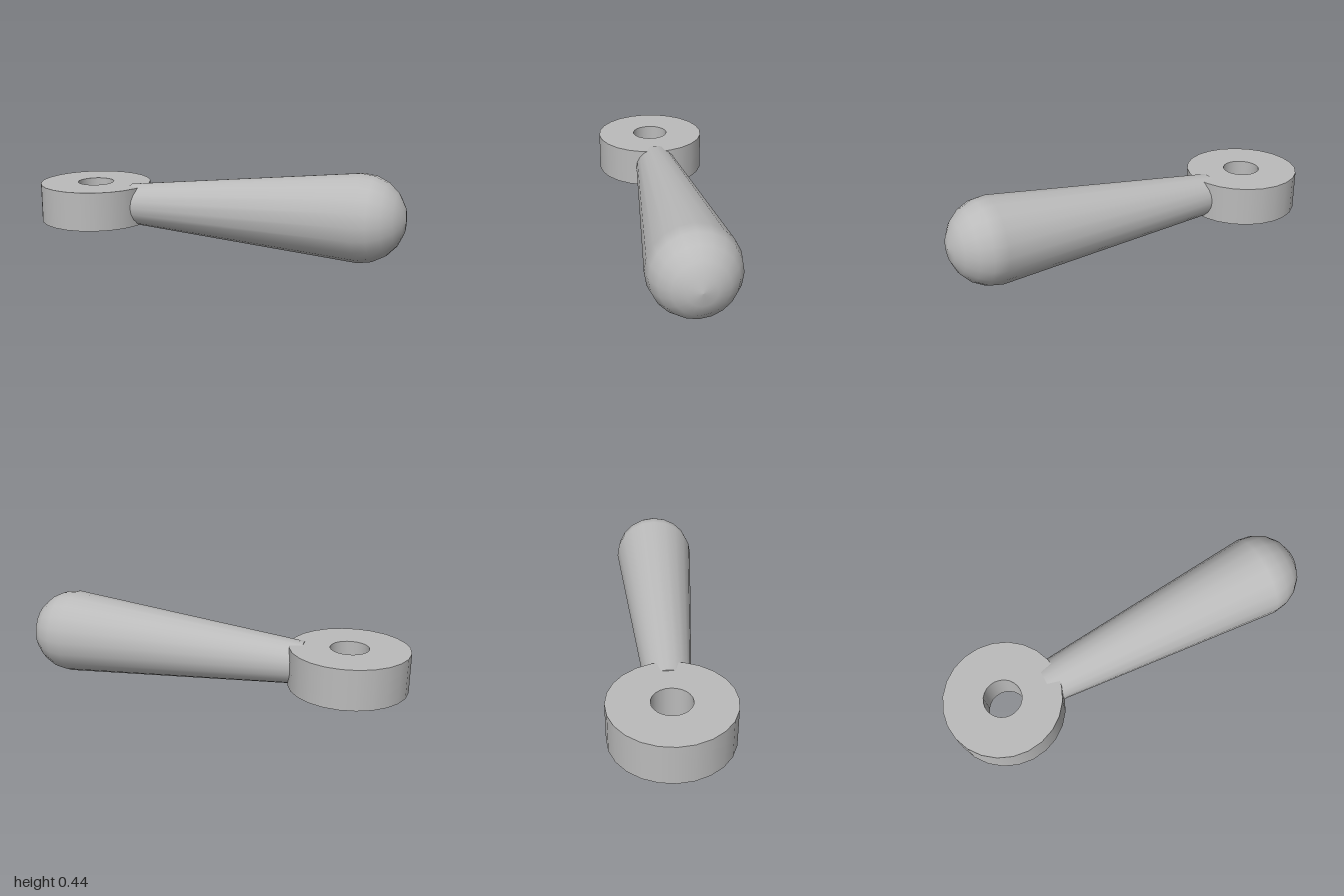
import * as THREE from 'three';
import { mergeGeometries } from 'three/addons/utils/BufferGeometryUtils.js';

const v2 = (x, y) => new THREE.Vector2(x, y);

// Flat ring with a through hole, smooth walls and sharp rims
function ringGeometry(outer, inner, height, sides) {
  const h = height / 2;
  const face = () => new THREE.RingGeometry(inner, outer, sides);
  return mergeGeometries([
    new THREE.LatheGeometry([v2(outer, -h), v2(outer, h)], sides),
    new THREE.LatheGeometry([v2(inner, h), v2(inner, -h)], sides),
    face().rotateX(-Math.PI / 2).translate(0, h, 0),
    face().rotateX(Math.PI / 2).translate(0, -h, 0),
  ]);
}

// Tapered grip along +x with a domed end; the dome centre is at the origin
function gripGeometry(length, startRadius, endRadius, sides) {
  const profile = [v2(startRadius, -length)];
  const steps = 5;
  for (let i = 0; i <= steps; i++) {
    const a = (i / steps) * Math.PI / 2;
    profile.push(v2(i === steps ? 0 : endRadius * Math.cos(a), endRadius * Math.sin(a)));
  }
  const body = new THREE.LatheGeometry(profile, sides);
  const cap = new THREE.CircleGeometry(startRadius, sides)
    .rotateX(Math.PI / 2).translate(0, -length, 0);
  return mergeGeometries([body, cap]).rotateZ(-Math.PI / 2);
}

export function createModel() {
  const steel = new THREE.MeshStandardMaterial({ color: 0xbbbbbb });
  steel.name = 'grey steel';
  const group = new THREE.Group();
  group.name = 'clampLever';

  // Hub ring
  const hub = new THREE.Mesh(ringGeometry(0.3, 0.097, 0.205, 24), steel);
  hub.name = 'hubRing';
  hub.position.set(-0.7, 0.1695, 0);
  group.add(hub);

  // Grip, rising slightly away from the hub
  const grip = new THREE.Mesh(gripGeometry(1.25, 0.109, 0.218, 20), steel);
  grip.name = 'grip';
  grip.position.set(0.782, 0.219, 0);
  grip.rotation.z = 0.04;
  group.add(grip);

  return group;
}
